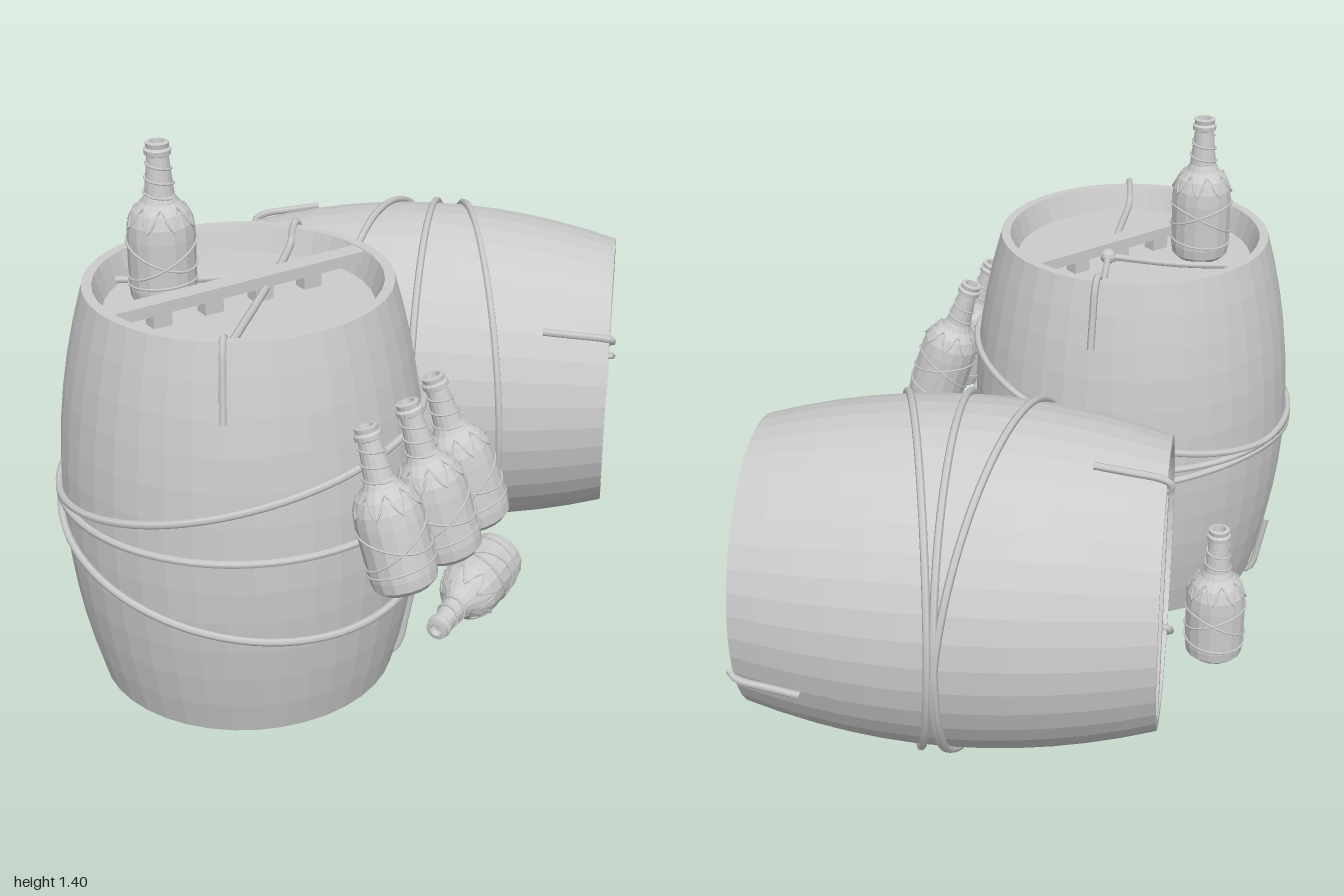
import * as THREE from 'three';

const V = (x, y, z) => new THREE.Vector3(x, y, z);
const flat = new THREE.MeshStandardMaterial({ color: 0xcccccc, flatShading: true });
const smooth = new THREE.MeshStandardMaterial({ color: 0xcccccc });

const HALF = 0.523, LID = 0.455;
const barrelRadius = (y) => 0.377 + 0.077 * (1 - (y / HALF) ** 2);

function add(parent, name, geometry, material = flat) {
  const mesh = new THREE.Mesh(geometry, material);
  mesh.name = name;
  parent.add(mesh);
  return mesh;
}

function rope(parent, name, points, radius = 0.01, closed = false, segments = 32) {
  const curve = new THREE.CatmullRomCurve3(points, closed, 'centripetal');
  return add(parent, name, new THREE.TubeGeometry(curve, segments, radius, 6, closed), smooth);
}

// Rope from the lid's knot, over the rim and a little way down the staves
function rimRope(parent, hub, x, z) {
  const d = V(x, 0, z).normalize();
  const at = (r, y) => V(d.x * r, y, d.z * r);
  rope(parent, 'rimRope', [
    hub, hub.clone().lerp(at(0.33, LID + 0.02), 0.6), at(0.335, LID + 0.035),
    at(0.358, HALF + 0.008), at(0.378, HALF + 0.008), at(0.395, HALF - 0.02),
    at(barrelRadius(0.43) + 0.008, 0.43), at(barrelRadius(0.345) + 0.006, 0.345),
  ]);
}

// Cross bar, knot and ropes on one barrel end
function makeEnd() {
  const end = new THREE.Group();
  end.name = 'barrelEnd';
  const bar = new THREE.Group();
  bar.name = 'crossBar';
  bar.rotation.y = 0.298;
  bar.rotation.y = -0.298;
  end.add(bar);
  add(bar, 'plank', new THREE.BoxGeometry(0.05, 0.03, 0.71)).position.y = LID + 0.05;
  for (const z of [-0.2, -0.06, 0.08, 0.22]) {
    add(bar, 'spacer', new THREE.BoxGeometry(0.04, 0.04, 0.05)).position.set(0, LID + 0.018, z);
  }
  const hub = V(0, LID + 0.035, -0.13);
  add(end, 'knot', new THREE.SphereGeometry(0.022, 8, 6)).position.copy(hub);
  rimRope(end, hub, -0.135, -0.4);
  rimRope(end, hub, 0.245, 0.33);
  rope(end, 'lidRope', [hub, V(-0.16, LID + 0.015, -0.02), V(-0.325, LID + 0.01, 0.1)], 0.01, false, 10);
  return end;
}

function makeBarrel(name) {
  const barrel = new THREE.Group();
  barrel.name = name;
  // Staves, rims and recessed lids in one profile
  const profile = [[0, -LID], [0.33, -LID], [0.352, -HALF]];
  for (let i = 0; i <= 12; i++) {
    const y = HALF * (i / 6 - 1);
    profile.push([barrelRadius(y), y]);
  }
  profile.push([0.352, HALF], [0.33, LID], [0, LID]);
  add(barrel, 'staves', new THREE.LatheGeometry(profile.map((p) => new THREE.Vector2(...p)), 40));

  // Three rope loops meeting on one side
  for (const [c, sx, sz] of [[0, 0, 0], [0.1, 0.22, -0.1], [-0.13, -0.25, -0.03]]) {
    const points = [];
    for (let i = 0; i < 40; i++) {
      const a = (i / 40) * Math.PI * 2, x = Math.cos(a), z = Math.sin(a);
      const y = c + 0.455 * (sx * x + sz * z), r = barrelRadius(y) + 0.007;
      points.push(V(x * r, y, z * r));
    }
    rope(barrel, 'ropeLoop', points, 0.01, true, 80);
  }

  const bottom = makeEnd();
  bottom.rotation.set(0, -0.6, Math.PI);
  barrel.add(makeEnd(), bottom);
  return barrel;
}

// Bottle standing on its base, wrapped in thin cord
function makeBottle(name, base, direction) {
  const bottle = new THREE.Group();
  bottle.name = name;
  const profile = [
    [0, 0.008], [0.05, 0.008], [0.062, 0], [0.078, 0.014], [0.082, 0.04], [0.083, 0.17], [0.08, 0.205],
    [0.068, 0.235], [0.045, 0.257], [0.036, 0.275], [0.026, 0.37], [0.032, 0.373], [0.033, 0.385],
    [0.027, 0.39], [0.029, 0.402], [0.018, 0.404], [0.016, 0.385], [0, 0.385],
  ];
  add(bottle, 'glass', new THREE.LatheGeometry(profile.map((p) => new THREE.Vector2(...p)), 16));

  const cord = (n, count, fn, closed) => {
    const points = [];
    for (let i = 0; i < count; i++) points.push(V(...fn(i / (closed ? count : count - 1))));
    rope(bottle, n, points, 0.003, closed, count * 2);
  };
  const ring = (r, y, tilt, phase) => (t) => {
    const a = t * Math.PI * 2;
    return [r * Math.cos(a), y + tilt * Math.cos(a + phase), r * Math.sin(a)];
  };
  // Cords round the body, zigzag on the shoulder, spiral up the neck
  cord('bodyCord', 16, ring(0.083, 0.055, 0.008, 0), true);
  cord('bodyCord', 16, ring(0.084, 0.115, 0.045, 1), true);
  cord('bodyCord', 16, ring(0.084, 0.13, 0.035, 3.4), true);
  cord('shoulderCord', 32, (t) => {
    const a = t * Math.PI * 2, s = 0.5 + 0.5 * Math.cos(a * 8);
    return ring(0.083 - 0.026 * s, 0.2 + 0.05 * s, 0, 0)(t);
  }, true);
  cord('neckCord', 24, (t) => {
    const a = t * Math.PI * 5, r = 0.039 - 0.01 * t;
    return [r * Math.cos(a), 0.268 + 0.09 * t, r * Math.sin(a)];
  }, false);
  // Crossed cords under the base
  for (const a of [0.4, 0.4 + Math.PI / 2]) {
    const c = Math.cos(a) * 0.06, s = Math.sin(a) * 0.06;
    rope(bottle, 'baseCord', [V(-c, 0, -s), V(0, 0.004, 0), V(c, 0, s)], 0.003, false, 6);
  }

  bottle.position.copy(base);
  bottle.quaternion.setFromUnitVectors(V(0, 1, 0), direction.clone().normalize());
  return bottle;
}

export function createModel() {
  const model = new THREE.Group();
  model.name = 'barrelsAndBottles';

  const standing = makeBarrel('standingBarrel');
  standing.position.set(0.055, 0.547, 0.53);

  // Second barrel lies on its side, turned 30 degrees
  const lying = makeBarrel('lyingBarrel');
  const basis = new THREE.Matrix4().makeBasis(V(0.5, 0, 0.866), V(-0.866, 0, 0.5), V(0, -1, 0));
  lying.quaternion.setFromRotationMatrix(basis);
  lying.position.set(-0.073, 0.473, -0.42);
  model.add(standing, lying);

  const up = V(0, 1, 0);
  model.add(
    makeBottle('bottleOnLid', V(-0.1, 1.004, 0.63), up),
    makeBottle('bottleOnGround', V(-0.46, 0.025, 0.21), up),
    makeBottle('fallenBottle', V(0.385, 0.107, -0.135), V(0.08, -0.01, 0.39)),
    makeBottle('hangingBottle', V(0.64, 0.475, 0.62), V(-0.115, 0.385, 0.012)),
    makeBottle('hangingBottle', V(0.64, 0.48, 0.443), V(-0.11, 0.385, 0.04)),
    makeBottle('hangingBottle', V(0.6, 0.48, 0.268), V(-0.11, 0.38, 0.06)),
  );
  return model;
}
